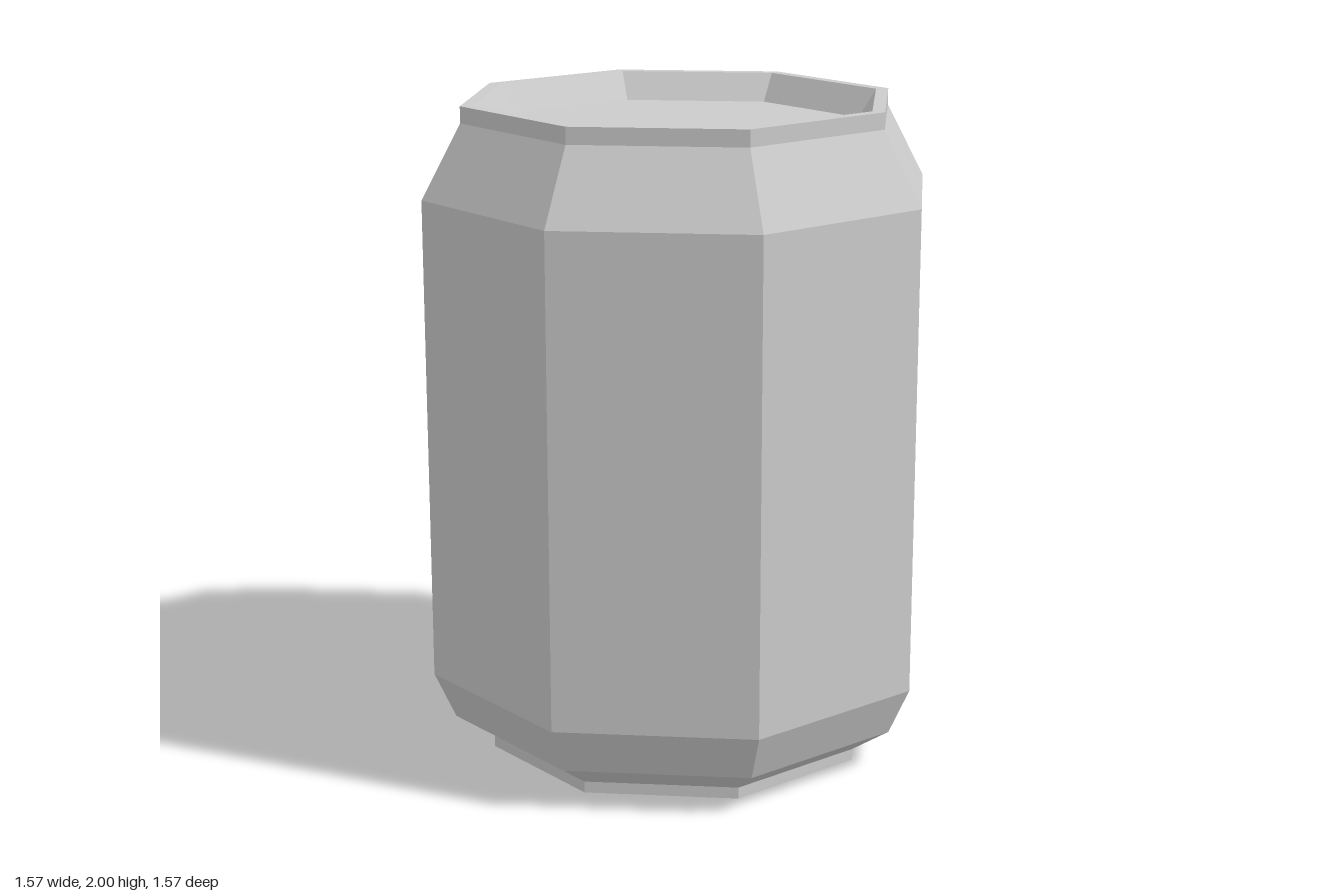
import * as THREE from 'three';

const SIDES = 8;
const material = new THREE.MeshStandardMaterial({ color: 0xcccccc, flatShading: true });

// Octagonal band turned from [radius, height] points, corners on the axes
function band(name, points) {
  const profile = points.map(([r, y]) => new THREE.Vector2(r, y));
  const mesh = new THREE.Mesh(new THREE.LatheGeometry(profile, SIDES), material);
  mesh.name = name;
  return mesh;
}

// Flat octagonal panel facing up (1) or down (-1)
function panel(name, radius, y, facing) {
  const geometry = new THREE.CircleGeometry(radius, SIDES).rotateX(-facing * Math.PI / 2);
  const mesh = new THREE.Mesh(geometry, material);
  mesh.position.y = y;
  mesh.name = name;
  return mesh;
}

export function createModel() {
  const can = new THREE.Group();
  can.name = 'can';
  can.add(
    // Sunken underside and the foot it stands on
    panel('basePanel', 0.405, 0.06, -1),
    band('foot', [[0.405, 0.06], [0.575, 0], [0.6, 0], [0.6, 0.035]]),
    // Wall with its tapered lower end and shoulder
    band('body', [[0.6, 0.035], [0.72, 0.115], [0.785, 0.26], [0.785, 1.73], [0.665, 1.95]]),
    // Upright rim, sloping inwards to the recessed lid
    band('rim', [[0.665, 1.95], [0.665, 2], [0.625, 2], [0.57, 1.915]]),
    panel('lid', 0.57, 1.915, 1),
  );
  return can;
}
